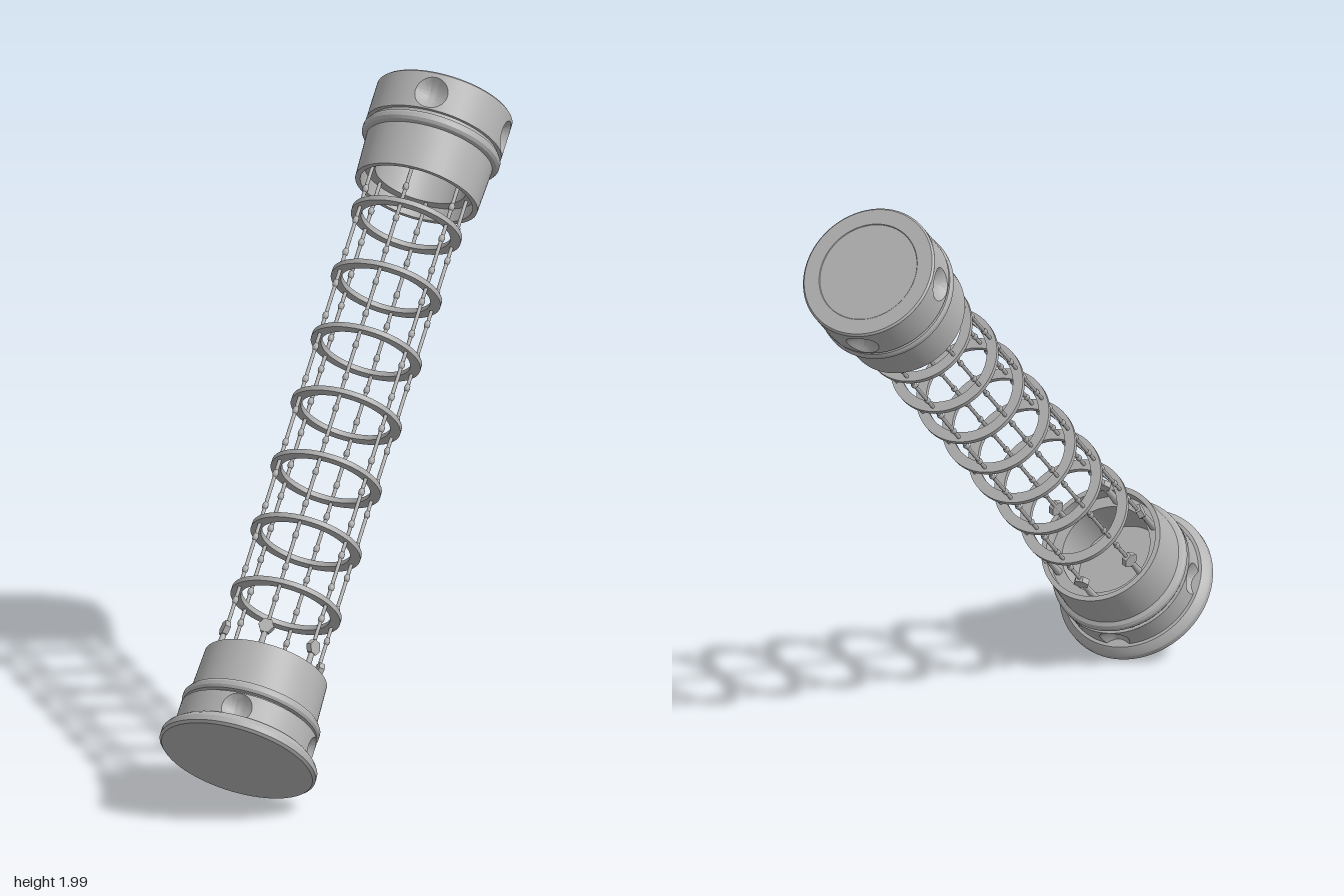
import * as THREE from 'three';
import { mergeVertices, toCreasedNormals } from 'three/addons/utils/BufferGeometryUtils.js';

const metal = new THREE.MeshStandardMaterial({ color: 0xb2b2b2 });
metal.name = 'grey metal';

const LENGTH = 2.31;   // end face to end face
const ROD_R = 0.16;    // radius of the circle of rods
const RINGS = 7;
const ringHeight = (i) => 0.545 + i * 0.2225;

function add(parent, name, geometry) {
  const mesh = new THREE.Mesh(geometry, metal);
  mesh.name = name;
  parent.add(mesh);
  return mesh;
}

// Turned part from [radius, height] pairs, outer side listed upwards
function turned(profile, segments = 72) {
  const lathe = new THREE.LatheGeometry(profile.map(([r, h]) => new THREE.Vector2(r, h)), segments);
  return toCreasedNormals(lathe, 0.5);
}

// Cylindrical band with four round dished recesses, one in each quarter
function dimpledBand(R, lo, hi, mid, hole, depth) {
  const w = R * Math.PI / 4;
  const edge = [];
  const side = (x0, y0, x1, y1, n) => {
    for (let i = 0; i < n; i++) edge.push([x0 + (x1 - x0) * i / n, y0 + (y1 - y0) * i / n]);
  };
  side(-w, lo - mid, w, lo - mid, 24);
  side(w, lo - mid, w, hi - mid, 8);
  side(w, hi - mid, -w, hi - mid, 24);
  side(-w, hi - mid, -w, lo - mid, 8);
  const n = edge.length, dish = 6, outer = 5, pos = [], index = [];
  for (let q = 0; q < 4; q++) {
    const start = pos.length / 3;
    for (let k = 0; k <= dish + outer; k++) {
      for (const [x, y] of edge) {
        const len = Math.hypot(x, y);
        const t = Math.min(k / dish, 1), u = Math.max(0, (k - dish) / outer);
        const s = THREE.MathUtils.lerp(x / len * hole * t, x, u);
        const h = THREE.MathUtils.lerp(y / len * hole * t, y, u);
        const r = R - depth * (1 - t * t);
        const a = q * Math.PI / 2 + s / R;
        pos.push(r * Math.cos(a), mid + h, -r * Math.sin(a));
      }
    }
    for (let k = 0; k < dish + outer; k++) {
      for (let i = 0; i < n; i++) {
        const a = start + k * n + i, b = start + k * n + (i + 1) % n;
        if (k > 0) index.push(a, a + n, b);
        index.push(b, a + n, b + n);
      }
    }
  }
  const g = new THREE.BufferGeometry();
  g.setAttribute('position', new THREE.Float32BufferAttribute(pos, 3));
  g.setIndex(index);
  return toCreasedNormals(mergeVertices(g), 0.5);
}

// Hollow sleeve with a raised bead, shared by both end caps
function sleeve(parent) {
  add(parent, 'sleeve', turned([
    [0, 0.125], [0.205, 0.125], [0.205, 0.138], [0.215, 0.141], [0.22, 0.15], [0.22, 0.163],
    [0.214, 0.172], [0.202, 0.177], [0.196, 0.32], [0.18, 0.32], [0.18, 0.275],
    [0.145, 0.275], [0.145, 0.13], [0, 0.13],
  ]));
}

function bottomCap() {
  const cap = new THREE.Group();
  cap.name = 'bottomCap';
  add(cap, 'baseFlange', turned([
    [0, 0], [0.242, 0], [0.25, 0.008], [0.25, 0.026], [0.244, 0.036], [0.228, 0.05], [0.15, 0.05], [0, 0.05],
  ]));
  add(cap, 'dimpledBand', dimpledBand(0.218, 0.03, 0.13, 0.08, 0.048, 0.03));
  add(cap, 'bandShoulder', turned([[0.218, 0.13], [0.19, 0.13]]));
  sleeve(cap);
  return cap;
}

function topCap() {
  const cap = new THREE.Group();
  cap.name = 'topCap';
  add(cap, 'endFace', turned([[0, 0.002], [0.16, 0.002], [0.162, 0], [0.211, 0], [0.217, 0.006]]));
  add(cap, 'dimpledBand', dimpledBand(0.217, 0.006, 0.128, 0.072, 0.052, 0.032));
  add(cap, 'bandShoulder', turned([[0.217, 0.128], [0.19, 0.128]]));
  sleeve(cap);
  cap.rotation.x = Math.PI;
  cap.position.y = LENGTH;
  return cap;
}

export function createModel() {
  const model = new THREE.Group();
  model.name = 'cageTube';
  const tube = new THREE.Group();
  tube.name = 'tiltedTube';
  model.add(tube);

  tube.add(bottomCap(), topCap());

  // Flat spacer rings
  const ring = turned([[0.143, -0.008], [0.176, -0.008], [0.176, 0.008], [0.143, 0.008], [0.143, -0.008]], 64);
  for (let i = 0; i < RINGS; i++) add(tube, 'spacerRing', ring).position.y = ringHeight(i);

  // Six rods with small knots, and a clamp with a hexagonal head at each foot
  const rod = new THREE.CylinderGeometry(0.006, 0.006, LENGTH - 0.5, 8);
  const knot = new THREE.SphereGeometry(0.01, 8, 6).scale(1, 1.5, 1);
  const stem = new THREE.CylinderGeometry(0.008, 0.013, 0.12, 8);
  const head = new THREE.CylinderGeometry(0.025, 0.025, 0.018, 6).rotateZ(Math.PI / 2).toNonIndexed();
  head.computeVertexNormals();
  for (let k = 0; k < 6; k++) {
    const strand = new THREE.Group();
    strand.name = 'rodAssembly';
    strand.rotation.y = k * Math.PI / 3;
    add(strand, 'rod', rod).position.set(ROD_R, LENGTH / 2, 0);
    for (let i = 0; i < RINGS; i++) {
      for (const d of [-0.055, 0.055]) add(strand, 'knot', knot).position.set(ROD_R, ringHeight(i) + d, 0);
    }
    add(strand, 'clampStem', stem).position.set(ROD_R + 0.004, 0.32, 0);
    add(strand, 'clampHead', head).position.set(ROD_R + 0.004, 0.39, 0);
    tube.add(strand);
  }

  // Lean the whole tube to its left and backwards
  const Y = new THREE.Vector3(0.34, 0.727, -0.596).normalize();
  const X = new THREE.Vector3(-0.18, 0.672, 0.718);
  X.addScaledVector(Y, -X.dot(Y)).normalize();
  const Z = new THREE.Vector3().crossVectors(X, Y);
  tube.quaternion.setFromRotationMatrix(new THREE.Matrix4().makeBasis(X, Y, Z));
  tube.position.set(-0.379, 0.171, 0.675);
  return model;
}
